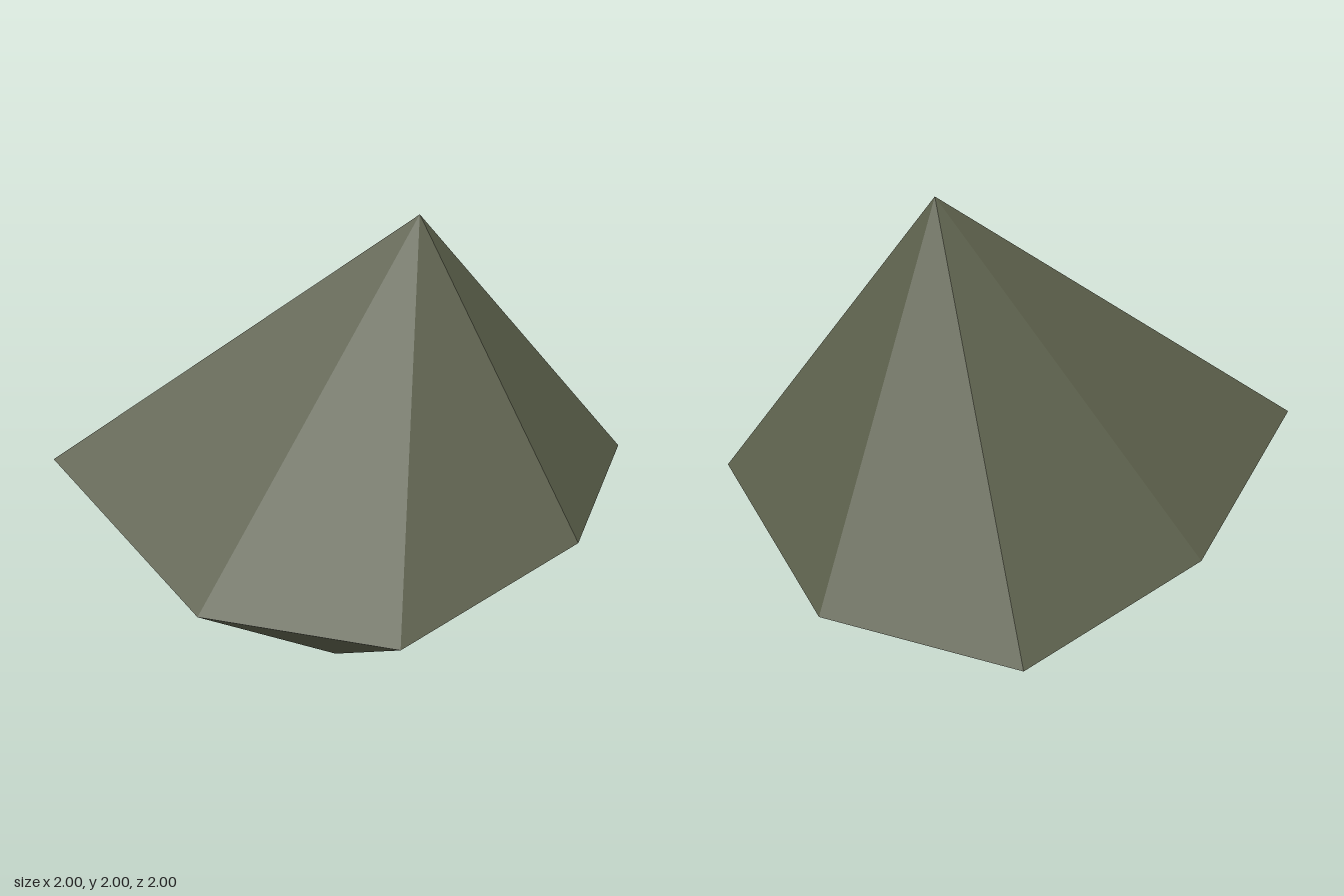
import * as THREE from 'three';

// Irregular girdle, counter-clockwise seen from above, starting at the front
const GIRDLE = [
  [0.01, 0.73, 1.0],
  [0.72, 0.73, 0.71],
  [1.0, 0.94, 0.0],
  [0.73, 0.95, -0.73],
  [0.01, 0.67, -1.0],
  [-0.78, 0.66, -0.8],
  [-1.0, 0.81, 0.0],
  [-0.85, 1.04, 0.87],
];
const APEX = [0.18, 2.0, -0.1];
const FOOT = [-0.11, 0.0, 0.06];

// Fan of flat triangles from the girdle to one tip
function facetFan(tip, upward) {
  const points = [];
  GIRDLE.forEach((a, i) => {
    const b = GIRDLE[(i + 1) % GIRDLE.length];
    points.push(...(upward ? [a, b, tip] : [b, a, tip]).flat());
  });
  const geometry = new THREE.BufferGeometry();
  geometry.setAttribute('position', new THREE.Float32BufferAttribute(points, 3));
  geometry.computeVertexNormals(); // unshared corners give flat facets
  return geometry;
}

export function createModel() {
  const stone = new THREE.MeshStandardMaterial({ color: 0x585c48 });
  stone.name = 'mossy stone';
  stone.flatShading = true;

  const group = new THREE.Group();
  group.name = 'facetedRock';

  // Tall upper half
  const crown = new THREE.Mesh(facetFan(APEX, true), stone);
  crown.name = 'upperFacets';

  // Shallow lower half
  const base = new THREE.Mesh(facetFan(FOOT, false), stone);
  base.name = 'lowerFacets';

  group.add(crown, base);
  return group;
}
